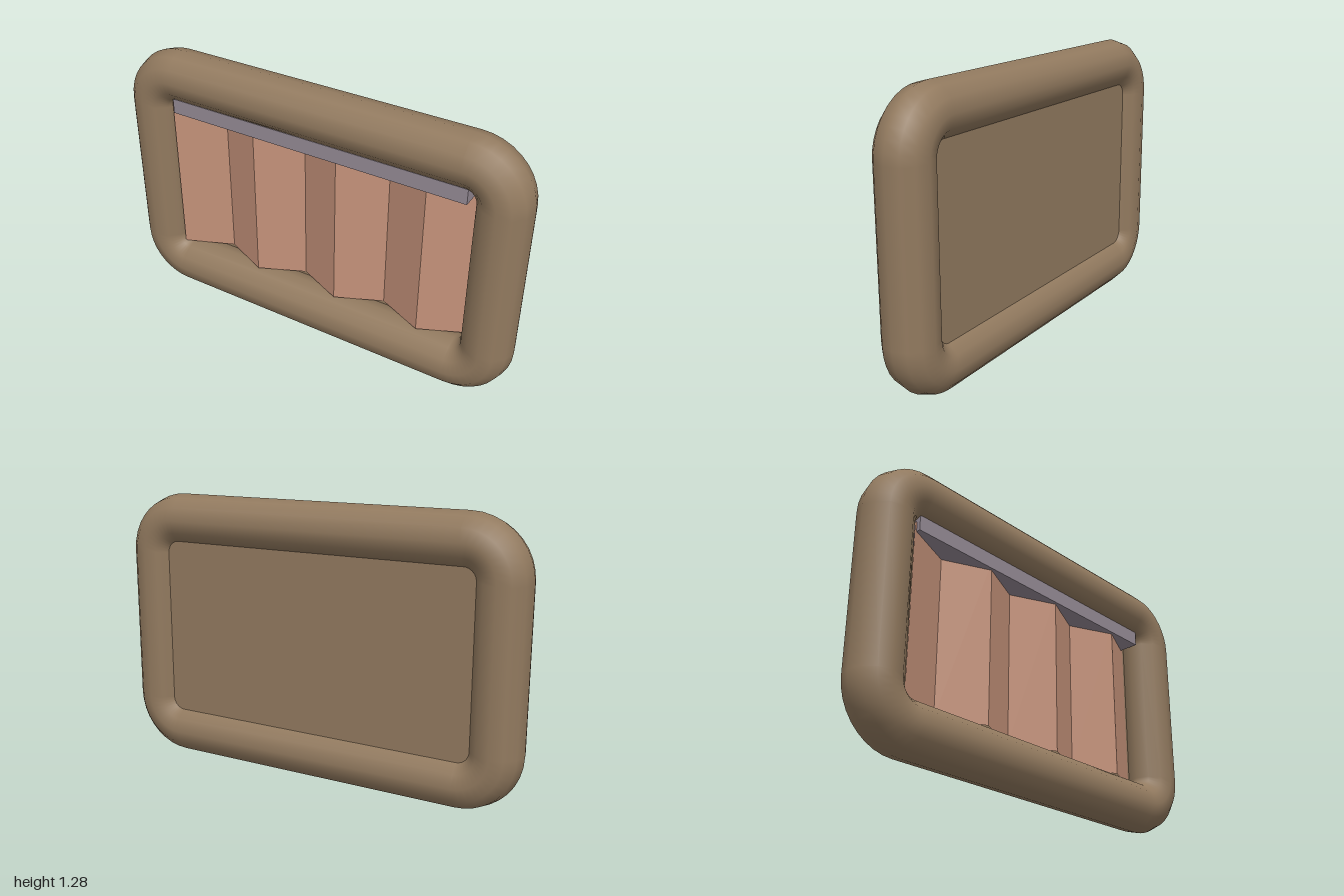
import * as THREE from 'three';

const W = 0.88, Y0 = 0.12, Y1 = 1.165; // centreline of the frame
const R = 0.12;                          // frame tube radius
const CORNER = 0.16;                     // centreline corner radius
const SIDES = 12, STEPS = 9;

const mat = (color, side = THREE.FrontSide) =>
  new THREE.MeshStandardMaterial({ color, side });

function add(group, name, geometry, material) {
  const mesh = new THREE.Mesh(geometry, material);
  mesh.name = name;
  group.add(mesh);
  return mesh;
}

// Round tube swept around a rounded rectangle
function frameGeometry() {
  const pos = [], nor = [], idx = [];
  const centres = [
    [W - CORNER, Y1 - CORNER], [-W + CORNER, Y1 - CORNER],
    [-W + CORNER, Y0 + CORNER], [W - CORNER, Y0 + CORNER],
  ];
  centres.forEach(([cx, cy], q) => {
    for (let i = 0; i <= STEPS; i++) {
      const a = (q + i / STEPS) * Math.PI / 2;
      const c = Math.cos(a), s = Math.sin(a);
      for (let j = 0; j < SIDES; j++) {
        const t = j / SIDES * Math.PI * 2;
        const out = Math.cos(t), z = Math.sin(t);
        const r = CORNER + R * out;
        pos.push(cx + r * c, cy + r * s, R * z);
        nor.push(out * c, out * s, z);
      }
    }
  });
  const rings = 4 * (STEPS + 1);
  for (let i = 0; i < rings; i++) {
    for (let j = 0; j < SIDES; j++) {
      const k = (j + 1) % SIDES, n = (i + 1) % rings;
      const a = i * SIDES + j, b = n * SIDES + j;
      const c = n * SIDES + k, d = i * SIDES + k;
      idx.push(a, b, c, a, c, d);
    }
  }
  const g = new THREE.BufferGeometry();
  g.setAttribute('position', new THREE.Float32BufferAttribute(pos, 3));
  g.setAttribute('normal', new THREE.Float32BufferAttribute(nor, 3));
  g.setIndex(idx);
  return g;
}

// Zigzag sheet with sharp vertical folds
function curtainGeometry(bottom, top) {
  const xs = [-0.76, -0.525, -0.31, -0.095, 0.12, 0.335, 0.55, 0.762];
  const z = i => (i % 2 ? -0.055 : 0.042);
  const pos = [];
  for (let i = 0; i < xs.length - 1; i++) {
    const a = [xs[i], bottom, z(i)], b = [xs[i + 1], bottom, z(i + 1)];
    const c = [xs[i + 1], top, z(i + 1)], d = [xs[i], top, z(i)];
    pos.push(...a, ...b, ...c, ...a, ...c, ...d);
  }
  const g = new THREE.BufferGeometry();
  g.setAttribute('position', new THREE.Float32BufferAttribute(pos, 3));
  g.computeVertexNormals();
  return g;
}

export function createModel() {
  const group = new THREE.Group();
  group.name = 'curtainedWindow';
  const wood = mat(0x927a5f);
  const midY = (Y0 + Y1) / 2;

  add(group, 'frame', frameGeometry(), wood);

  // Flat panel closing the back, its edges sunk in the frame
  add(group, 'backPanel', new THREE.BoxGeometry(1.6, 0.89, 0.004), wood)
    .position.set(0, midY, -0.06);

  add(group, 'curtain', curtainGeometry(0.242, 1.03), mat(0xc5927a, THREE.DoubleSide));

  // Rail the curtain hangs from
  add(group, 'curtainRail', new THREE.BoxGeometry(1.48, 0.072, 0.11), mat(0x958a95))
    .position.set(-0.005, 1.021, 0.001);

  return group;
}
